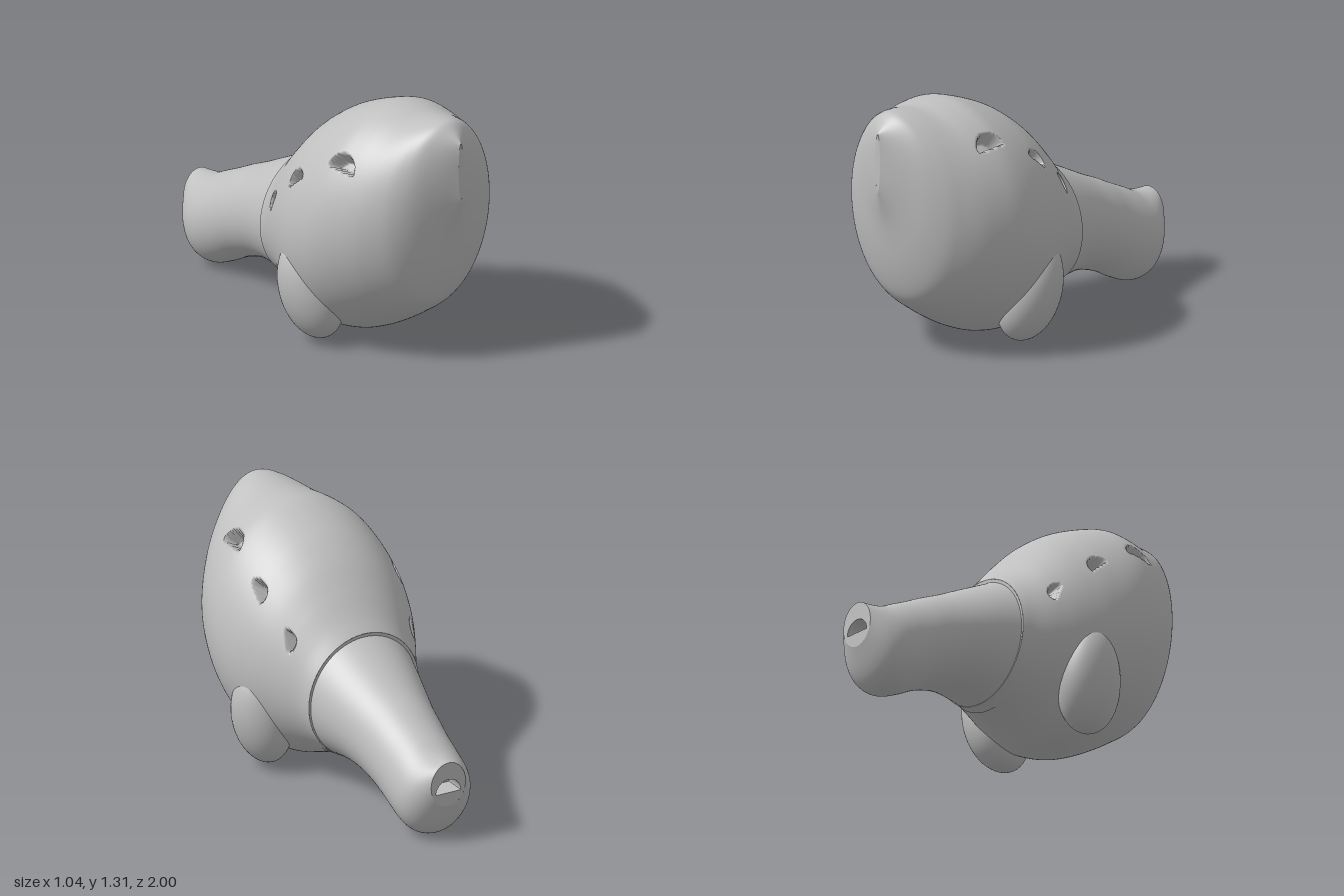
import * as THREE from 'three';

// Cross-section stations: [z, top, bottom, half width]
const BODY = [
  [1, 1.22, 0.91, 0.015], [0.95, 1.265, 0.74, 0.13], [0.9, 1.303, 0.5, 0.24], [0.85, 1.308, 0.35, 0.315],
  [0.8, 1.304, 0.28, 0.365], [0.7, 1.293, 0.205, 0.435], [0.6, 1.301, 0.14, 0.48], [0.5, 1.3, 0.085, 0.51],
  [0.4, 1.27, 0.045, 0.52], [0.28, 1.22, 0.024, 0.508], [0.2, 1.175, 0.035, 0.488], [0.1, 1.1, 0.075, 0.45],
  [0, 1.0, 0.115, 0.4], [-0.1, 0.89, 0.145, 0.345], [-0.165, 0.825, 0.153, 0.32],
];
const NECK = [
  [-0.1, 0.845, 0.14, 0.33], [-0.16, 0.81, 0.154, 0.31], [-0.3, 0.74, 0.168, 0.275], [-0.4, 0.69, 0.16, 0.25],
  [-0.5, 0.64, 0.135, 0.23], [-0.6, 0.595, 0.097, 0.218], [-0.7, 0.545, 0.045, 0.21], [-0.8, 0.498, 0.005, 0.207],
  [-0.87, 0.464, 0.012, 0.198], [-0.92, 0.451, 0.05, 0.175], [-0.96, 0.448, 0.115, 0.142], [-1, 0.45, 0.21, 0.1],
];

// Smooth interpolation between stations: returns centre height, half height, half width
function section(stations, z) {
  const n = stations.length;
  let i = 0;
  while (i < n - 2 && z < stations[i + 1][0]) i++;
  const slope = (k, c) => {
    const a = stations[Math.max(k - 1, 0)], b = stations[Math.min(k + 1, n - 1)];
    return (b[c] - a[c]) / (b[0] - a[0]);
  };
  const A = stations[i], B = stations[i + 1], h = B[0] - A[0], t = (z - A[0]) / h;
  const value = (c) => {
    const t2 = t * t, t3 = t2 * t;
    return (2 * t3 - 3 * t2 + 1) * A[c] + (t3 - 2 * t2 + t) * h * slope(i, c)
      + (3 * t2 - 2 * t3) * B[c] + (t3 - t2) * h * slope(i + 1, c);
  };
  const top = value(1), bottom = value(2);
  return { cy: (top + bottom) / 2, ry: (top - bottom) / 2, rx: value(3) };
}

// Tube of elliptical sections running from front to back
function loft(stations, rows, cols, adjust) {
  const pos = [], index = [];
  const z0 = stations[0][0], z1 = stations[stations.length - 1][0];
  const p = new THREE.Vector3();
  for (let i = 0; i <= rows; i++) {
    const z = z0 + (z1 - z0) * i / rows, s = section(stations, z);
    for (let j = 0; j < cols; j++) {
      const a = j / cols * Math.PI * 2;
      p.set(s.rx * Math.cos(a), s.cy + s.ry * Math.sin(a), z);
      if (adjust) adjust(p, s, a);
      pos.push(p.x, p.y, p.z);
      if (i < rows) {
        const k = (j + 1) % cols, r = i * cols, q = r + cols;
        index.push(r + j, q + j, r + k, r + k, q + j, q + k);
      }
    }
  }
  const g = new THREE.BufferGeometry();
  g.setAttribute('position', new THREE.Float32BufferAttribute(pos, 3));
  g.setIndex(index);
  g.computeVertexNormals();
  return g;
}

// Half-round finger holes: [x, z, radius, direction of the rounded side]
const HOLES = [
  [0.36, 0.545, 0.085, [-0.7, 0.7, 0]], [0.39, 0.245, 0.064, [-0.45, 0.68, -0.58]],
  [0.35, 0.015, 0.055, [-0.4, 0.35, -0.85]],
  [-0.41, 0.545, 0.085, [0.7, 0.7, 0]], [-0.44, 0.245, 0.064, [0.45, 0.68, -0.58]],
  [-0.39, 0.015, 0.055, [0.4, 0.35, -0.85]],
].map(([x, z, r, d]) => {
  const s = section(BODY, z);
  const y = s.cy + s.ry * Math.sqrt(Math.max(0, 1 - (x / s.rx) ** 2));
  return { c: new THREE.Vector3(x, y, z), r, d: new THREE.Vector3(...d).normalize() };
});

function pressHoles(p, s, a) {
  for (const { c, r, d } of HOLES) {
    const dist = p.distanceTo(c);
    if (dist > r) continue;
    const edge = Math.min(r - dist, p.clone().sub(c).dot(d));
    const depth = 0.09 * THREE.MathUtils.smoothstep(edge, 0, 0.01);
    const n = new THREE.Vector2(Math.cos(a) / s.rx, Math.sin(a) / s.ry).normalize();
    p.x -= n.x * depth;
    p.y -= n.y * depth;
    return;
  }
}

export function createModel() {
  const group = new THREE.Group();
  const clay = new THREE.MeshStandardMaterial({ color: 0xc0c0c0 });
  clay.name = 'grey clay';
  const add = (name, geometry) => {
    const m = new THREE.Mesh(geometry, clay);
    m.name = name;
    group.add(m);
    return m;
  };

  // Flat elliptical end of a loft
  const endCap = (name, [z, top, bottom, w], back) => {
    const m = add(name, new THREE.CircleGeometry(1, 64));
    m.scale.set(w, (top - bottom) / 2, 1);
    m.position.set(0, (top + bottom) / 2, z);
    if (back) m.rotation.y = Math.PI;
  };

  // Body with finger holes
  add('body', loft(BODY, 170, 300, pressHoles));
  endCap('beakTip', BODY[0], false);
  endCap('bodyRim', BODY[BODY.length - 1], true);

  // Neck of the mouthpiece
  add('mouthpiece', loft(NECK, 60, 96));

  // Mouthpiece end with a half-round blow hole
  const [, top, bottom, w] = NECK[NECK.length - 1];
  const face = new THREE.Shape().absellipse(0, 0, w, (top - bottom) / 2, 0, Math.PI * 2);
  const slot = new THREE.Path();
  slot.absarc(0, -0.045, 0.072, 0, Math.PI, false);
  slot.closePath();
  face.holes.push(slot);
  const plug = add('blowHole', new THREE.ExtrudeGeometry(face, { depth: 0.12, bevelEnabled: false, curveSegments: 32 }));
  plug.position.set(0, (top + bottom) / 2, -1);
  const floor = add('blowHoleFloor', new THREE.CircleGeometry(0.09, 32));
  floor.position.set(0, (top + bottom) / 2, -0.885);
  floor.rotation.y = Math.PI;

  // Pair of leaning feet, narrower at the top
  for (const side of [1, -1]) {
    const g = new THREE.SphereGeometry(1, 48, 32);
    const p = g.attributes.position;
    for (let i = 0; i < p.count; i++) {
      const y = p.getY(i), taper = 1 - 0.14 * y;
      p.setXYZ(i, p.getX(i) * 0.15, y * 0.278, p.getZ(i) * 0.17 * taper);
    }
    g.computeVertexNormals();
    const foot = add(side > 0 ? 'leftFoot' : 'rightFoot', g);
    foot.position.set(side * 0.35, 0.298, 0.25);
    foot.rotation.set(-0.14, 0, -side * 0.21);
  }
  return group;
}
